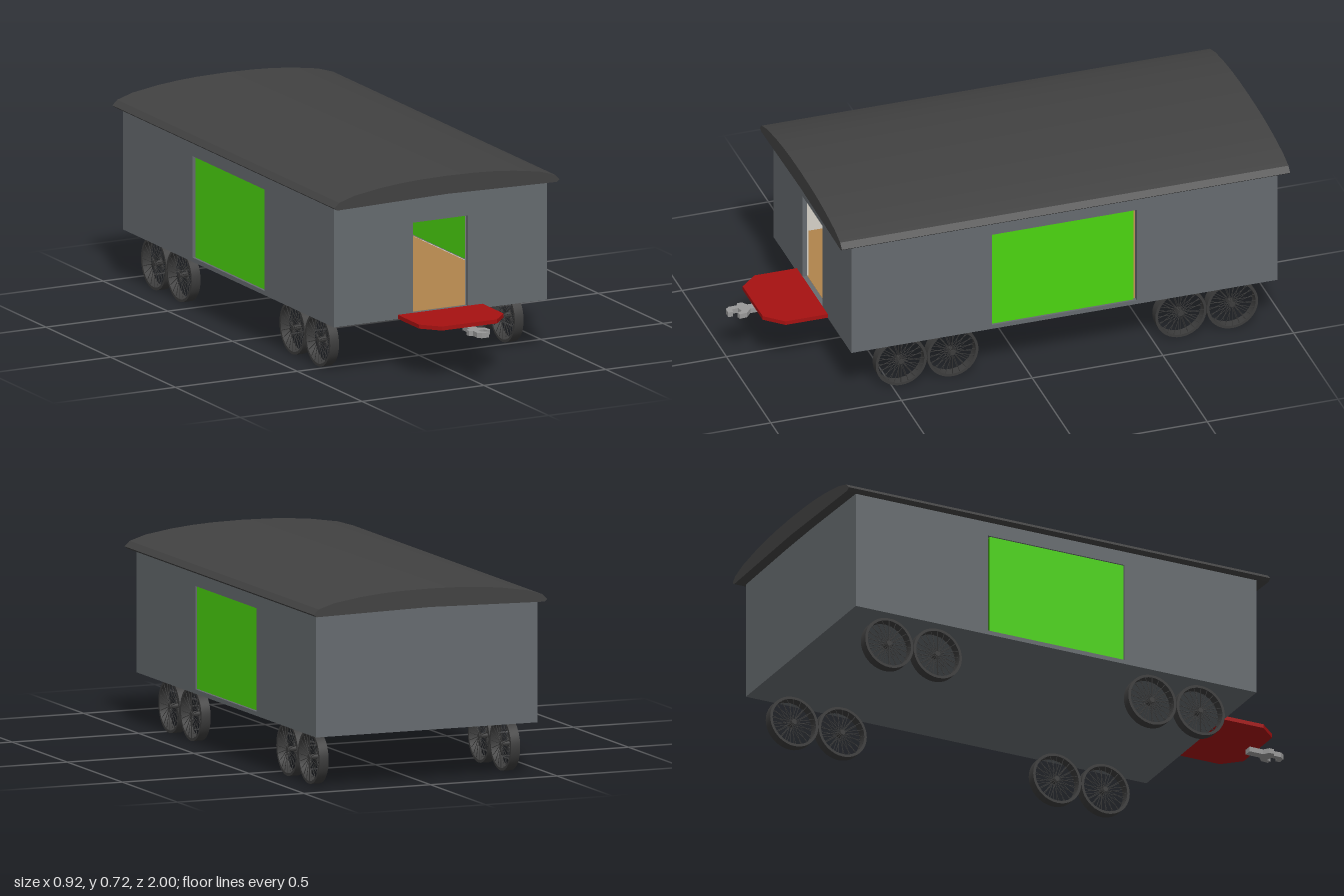
import * as THREE from 'three';
import { mergeGeometries, toCreasedNormals } from 'three/addons/utils/BufferGeometryUtils.js';

const mat = (color, side = THREE.FrontSide) => new THREE.MeshStandardMaterial({ color, side });
const M = {
  wall: mat(0x666b6f), lining: mat(0xd6d1c8), floor: mat(0xb0844c), roof: mat(0x424242),
  green: mat(0x4cd510), red: mat(0xa61111), wheel: mat(0x3c3c3c), steel: mat(0x999999),
};

// Body extents
const X0 = -0.44, X1 = 0.435, Y0 = 0.195, Y1 = 0.65, ZB = -0.96, ZF = 0.67, T = 0.018, L = 0.004;

function add(parent, name, geometry, material, x = 0, y = 0, z = 0) {
  const mesh = new THREE.Mesh(geometry, material);
  mesh.name = name;
  mesh.position.set(x, y, z);
  parent.add(mesh);
  return mesh;
}

function box(parent, name, material, x0, x1, y0, y1, z0, z1) {
  return add(parent, name, new THREE.BoxGeometry(x1 - x0, y1 - y0, z1 - z0), material,
    (x0 + x1) / 2, (y0 + y1) / 2, (z0 + z1) / 2);
}

const rect = (C, u0, u1, v0, v1) =>
  new C([[u0, v0], [u1, v0], [u1, v1], [u0, v1]].map(p => new THREE.Vector2(...p)));

const extrude = (shape, depth) => new THREE.ExtrudeGeometry(shape, { depth, bevelEnabled: false });

// Panel with a rectangular opening, extruded along +z
function panel(u0, u1, v0, v1, hole, depth) {
  const shape = rect(THREE.Shape, u0, u1, v0, v1);
  shape.holes.push(rect(THREE.Path, ...hole));
  return extrude(shape, depth);
}

function buildBody() {
  const body = new THREE.Group();
  body.name = 'body';
  box(body, 'underside', M.wall, X0, X1, Y0, 0.205, ZB, ZF);
  box(body, 'floor', M.floor, X0 + T, X1 - T, 0.205, 0.211, ZB + T, ZF - T);
  box(body, 'backWall', M.wall, X0, X1, Y0, Y1, ZB, ZB + T);
  box(body, 'backLining', M.lining, X0 + T, X1 - T, 0.205, Y1, ZB + T, ZB + T + L);

  // Front wall with an open doorway
  const door = [-0.115, 0.11, 0.21, 0.548];
  add(body, 'frontWall', panel(X0, X1, Y0, Y1, door, T), M.wall, 0, 0, ZF - T);
  add(body, 'frontLining', panel(X0 + T, X1 - T, 0.205, Y1, door, L), M.lining, 0, 0, ZF - T - L);

  // Long walls with sliding door openings; a quarter turn maps u to -z
  const opening = [-0.132, 0.422, 0.211, 0.59];
  const outer = panel(-ZF, -ZB, Y0, Y1, opening, T).rotateY(Math.PI / 2);
  const inner = panel(-ZF + T, -ZB - T, 0.205, Y1, opening, L).rotateY(Math.PI / 2);
  add(body, 'leftWall', outer, M.wall, X1 - T);
  add(body, 'rightWall', outer, M.wall, X0);
  add(body, 'leftLining', inner, M.lining, X1 - T - L);
  add(body, 'rightLining', inner, M.lining, X0 + T);
  box(body, 'leftSlidingDoor', M.green, X1 - 0.016, X1 - 0.006, 0.213, 0.59, -0.412, 0.132);
  box(body, 'rightSlidingDoor', M.green, X0 + 0.006, X0 + 0.016, 0.213, 0.59, -0.412, 0.132);
  return body;
}

// Shallow arched roof with rounded eaves
function buildRoof() {
  const half = [[0.45, 0.643], [0.462, 0.652], [0.442, 0.671], [0.38, 0.69], [0.275, 0.706],
    [0.19, 0.714], [0.115, 0.718]];
  const pts = [...half, [0, 0.72], ...half.map(([x, y]) => [-x, y]).reverse(), [0, 0.652]];
  const shape = new THREE.Shape(pts.map(p => new THREE.Vector2(...p)));
  return toCreasedNormals(extrude(shape, 1.715), 0.3);
}

// Wire-spoked wheel, axis along x
function buildWheel() {
  const R = 0.098, W = 0.018, inner = 0.088;
  const profile = [[inner, -W], [R, -W], [R, W], [inner, W], [inner, -W]]
    .map(p => new THREE.Vector2(...p));
  const rim = toCreasedNormals(new THREE.LatheGeometry(profile, 40).toNonIndexed(), 0.5);
  const hub = new THREE.CylinderGeometry(0.01, 0.01, 2 * W, 12).toNonIndexed();
  const parts = [rim, hub];
  for (const side of [-1, 1]) {
    for (let i = 0; i < 20; i++) {
      const spoke = new THREE.CylinderGeometry(0.0013, 0.0013, 0.084, 4, 1, true).toNonIndexed();
      spoke.rotateZ(Math.PI / 2).translate(0.048, side * (W - 0.003), 0);
      parts.push(spoke.rotateY((i / 20) * Math.PI * 2));
    }
  }
  return mergeGeometries(parts).rotateZ(Math.PI / 2);
}

// Flat shape given in (x, z), laid horizontally between two heights
function slab(points, y0, y1) {
  const shape = new THREE.Shape(points.map(([x, z]) => new THREE.Vector2(x, -z)));
  return extrude(shape, y1 - y0).rotateX(-Math.PI / 2).translate(0, y0, 0);
}

export function createModel() {
  const model = new THREE.Group();
  model.name = 'wagon';
  model.add(buildBody());
  add(model, 'roof', buildRoof(), M.roof, 0, 0, -1);

  // Four pairs of wheels
  const wheel = buildWheel();
  for (const x of [-0.38, 0.377]) {
    for (const z of [0.465, 0.268, -0.605, -0.802]) {
      add(model, 'wheel', wheel, M.wheel, x, 0.098, z);
    }
  }

  // Front platform with cut corners
  add(model, 'platform', slab([[-0.178, ZF], [-0.178, 0.832], [-0.118, 0.898], [0.108, 0.898],
    [0.17, 0.832], [0.17, ZF]], 0.196, 0.211), M.red);

  // Coupler: a shank ending in an open hook
  add(model, 'coupler', slab([[-0.014, 0.86], [-0.014, 0.915], [-0.034, 0.93], [-0.034, 0.948],
    [-0.02, 0.955], [-0.02, 0.985], [-0.008, 1], [0.02, 1], [0.02, 0.982], [0.002, 0.978],
    [0.0, 0.955], [0.024, 0.95], [0.03, 0.968], [0.045, 0.964], [0.042, 0.935],
    [0.018, 0.915], [0.018, 0.86]], 0.177, 0.196), M.steel);
  return model;
}
